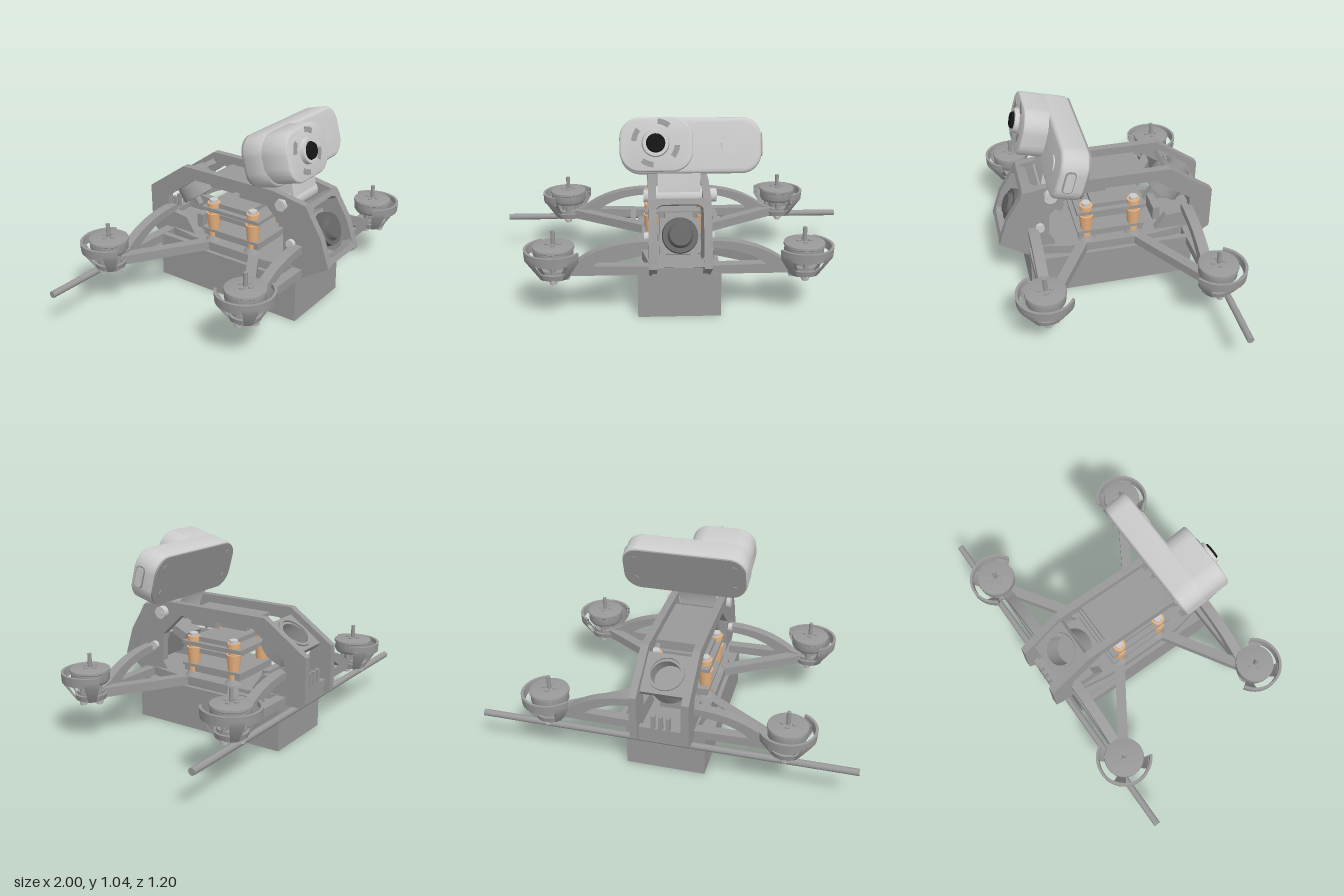
import * as THREE from 'three';
import { toCreasedNormals } from 'three/addons/utils/BufferGeometryUtils.js';

const material = (color) => new THREE.MeshStandardMaterial({ color });
const grey = material(0x999999);
const greyThin = new THREE.MeshStandardMaterial({ color: 0x999999, side: THREE.DoubleSide });
const dark = material(0x666666);
const light = material(0xd0d0d0);
const brass = material(0xe6b07e);
const black = material(0x151515);

function add(parent, name, geometry, mat = grey, x = 0, y = 0, z = 0) {
  const mesh = new THREE.Mesh(geometry, mat);
  mesh.name = name;
  mesh.position.set(x, y, z);
  parent.add(mesh);
  return mesh;
}
const group = (parent, name, x = 0, y = 0, z = 0) => {
  const g = new THREE.Group();
  g.name = name;
  g.position.set(x, y, z);
  parent.add(g);
  return g;
};
const box = (w, h, d) => new THREE.BoxGeometry(w, h, d);
const cyl = (r, h, n = 28, rTop = r) => new THREE.CylinderGeometry(rTop, r, h, n);
const cylX = (r, h, n = 24) => cyl(r, h, n).rotateZ(Math.PI / 2);
const cylZ = (r, h, n = 32, rFront = r) => cyl(r, h, n, rFront).rotateX(Math.PI / 2);
const polygon = (pts) => new THREE.Shape(pts.map((p) => new THREE.Vector2(...p)));
const lathe = (pts, start = 0, length = Math.PI * 2, n = 36) => toCreasedNormals(new THREE.LatheGeometry(
  pts.map((p) => new THREE.Vector2(...p)), n, start, length).toNonIndexed(), 0.6);

// Rounded rectangle centred on (cx, cy)
function roundRect(w, h, r, cx = 0, cy = 0) {
  const s = new THREE.Shape(), a = w / 2 - r, b = h / 2 - r, q = Math.PI / 2;
  s.absarc(cx + a, cy + b, r, 0, q).absarc(cx - a, cy + b, r, q, 2 * q);
  s.absarc(cx - a, cy - b, r, 2 * q, 3 * q).absarc(cx + a, cy - b, r, 3 * q, 4 * q);
  s.closePath();
  return s;
}
const extrude = (shape, depth, extra = {}) => toCreasedNormals(
  new THREE.ExtrudeGeometry(shape, { depth, bevelEnabled: false, curveSegments: 12, ...extra }), 0.6);
// Extrudes a (z, y) shape across x, centred on x = 0
const extrudeX = (shape, width) => extrude(shape, width).rotateY(-Math.PI / 2).translate(width / 2, 0, 0);
// Extrudes a (x, z) shape upwards from y = 0
const extrudeY = (shape, height) => extrude(shape, height).rotateX(Math.PI / 2).translate(0, height, 0);
// Soft-edged block with its back on z = 0
const softBlock = (w, h, r, depth, b, cx, cy) => extrude(
  roundRect(w - 2 * b, h - 2 * b, r - b, cx, cy), depth - 2 * b,
  { bevelEnabled: true, bevelSize: b, bevelThickness: b, bevelSegments: 4 }).translate(0, 0, b);

function buildFrame(model) {
  const frame = group(model, 'frame');
  const plate = polygon([[0.265, 0.675], [-0.33, 0.675], [-0.575, 0.505], [-0.575, 0.26], [-0.54, 0.235],
    [0.45, 0.235], [0.6, 0.33], [0.55, 0.485], [0.455, 0.64]]);
  plate.holes.push(polygon([[0.195, 0.61], [-0.255, 0.61], [-0.45, 0.47], [-0.45, 0.385], [-0.32, 0.37],
    [-0.26, 0.285], [0.3, 0.285], [0.33, 0.33], [0.325, 0.485]]));
  for (const s of [-1, 1]) {
    add(frame, 'sidePlate', extrudeX(plate, 0.04), grey, s * 0.135);
    add(frame, 'gussetBar', box(0.03, 0.04, 0.2), grey, s * 0.24, 0.26, -0.32);
    add(frame, 'cameraPivotScrew', cylX(0.024, 0.03), light, s * 0.162, 0.415, 0.38);
  }
  add(frame, 'bottomPlate', extrudeY(polygon([[-0.14, 0.48], [-0.19, 0.24], [-0.19, -0.24], [-0.14, -0.54],
    [0.14, -0.54], [0.19, -0.24], [0.19, 0.24], [0.14, 0.48]]), 0.05), grey, 0, 0.235);
  // Top deck and the modules hanging below it
  add(frame, 'topDeck', box(0.24, 0.02, 0.4), grey, 0, 0.62, 0);
  add(frame, 'hangingModule', box(0.2, 0.06, 0.16), grey, 0, 0.585, 0.09);
  add(frame, 'hangingModule', box(0.2, 0.045, 0.155), grey, 0, 0.592, -0.108);
  // Sloped nose ring
  const nose = roundRect(0.31, 0.335, 0.03);
  nose.holes.push(roundRect(0.25, 0.275, 0.05));
  add(frame, 'noseRing', extrude(nose, 0.06), grey, 0, 0.468, 0.474).rotation.x = -0.43;
  // Sloped tail plate with its tilted tube
  const tail = group(frame, 'tailAntennaMount', 0, 0.575, -0.435);
  tail.rotation.x = -0.62;
  const ringPlate = polygon([[-0.118, -0.1], [0.118, -0.1], [0.118, 0.12], [-0.118, 0.12]]);
  ringPlate.holes.push(new THREE.Path().absarc(0, 0, 0.08, 0, Math.PI * 2));
  add(tail, 'ringPlate', extrudeY(ringPlate, 0.03), grey, 0, -0.04);
  add(tail, 'tube', lathe([[0, -0.16], [0.108, -0.16], [0.108, -0.04], [0.095, -0.03], [0.095, 0], [0.08, 0],
    [0.08, -0.11], [0, -0.11]]), greyThin, 0, 0, 0.015);
  add(tail, 'tubeStub', cyl(0.02, 0.05), grey, 0, -0.18, -0.03);
  // Tail crossbar and connectors
  add(frame, 'tailCrossbar', box(0.24, 0.03, 0.03), grey, 0, 0.3, -0.53);
  for (const x of [-0.04, 0, 0.04]) add(frame, 'tailPin', box(0.02, 0.1, 0.025), grey, x, 0.34, -0.535);
  add(frame, 'connector', box(0.14, 0.08, 0.04), grey, 0, 0.325, -0.29);
  add(frame, 'crossRod', cylX(0.018, 2, 20), grey, 0, 0.212, -0.5);
}

function buildStack(model) {
  const stack = group(model, 'electronicsStack');
  // y, height, width and depth of each layer
  const layers = [[0.325, 0.03, 0.32, 0.36], [0.347, 0.015, 0.34, 0.375], [0.425, 0.025, 0.28, 0.25],
    [0.469, 0.02, 0.34, 0.375], [0.449, 0.018, 0.26, 0.3], [0.492, 0.026, 0.28, 0.2]];
  for (const [y, h, w, d] of layers) add(stack, 'board', box(w, h, d), grey, 0, y, -0.007);
  for (const x of [-0.138, 0.138]) for (const z of [0.125, -0.135]) {
    const post = group(stack, 'standoff', x, 0, z);
    add(post, 'foot', cyl(0.05, 0.025, 24, 0.03), grey, 0, 0.297);
    add(post, 'lowerSpacer', cyl(0.029, 0.035), brass, 0, 0.325);
    add(post, 'damper', cyl(0.03, 0.105, 24, 0.04), brass, 0, 0.393);
    add(post, 'collar', cyl(0.03, 0.04), brass, 0, 0.465);
    add(post, 'upperSpacer', cyl(0.035, 0.025), brass, 0, 0.494);
    add(post, 'screwHead', cyl(0.023, 0.018), light, 0, 0.515);
  }
}

function buildArm(model, sx, sz) {
  const cx = sx * 0.63, cz = sz > 0 ? 0.432 : -0.453;
  const arm = group(model, 'arm');
  // Flat diagonal strut
  const from = new THREE.Vector2(sx * 0.15, sz * 0.14), to = new THREE.Vector2(cx - sx * 0.05, cz - sz * 0.03);
  const mid = from.clone().add(to).multiplyScalar(0.5);
  const strut = add(arm, 'diagonalStrut', box(from.distanceTo(to), 0.05, 0.055), grey, mid.x, 0.26, mid.y);
  strut.rotation.y = -Math.atan2(to.y - from.y, to.x - from.x);
  // Straight strut with an arched brace above it
  const brace = new THREE.Shape().moveTo(0.13, 0.235).lineTo(0.58, 0.235).lineTo(0.58, 0.285);
  brace.lineTo(0.53, 0.3).quadraticCurveTo(0.37, 0.42, 0.13, 0.415);
  const gap = new THREE.Path().moveTo(0.15, 0.28).lineTo(0.44, 0.285).quadraticCurveTo(0.34, 0.37, 0.15, 0.375);
  brace.holes.push(gap);
  const arch = add(arm, 'archedStrut', extrude(brace, 0.055).translate(0, 0, -0.0275), grey, 0, 0, cz - sz * 0.015);
  arch.rotation.y = sx < 0 ? Math.PI : 0;

  // Motor cup: C-shaped guard on tapering ribs, open towards the body
  const mount = group(arm, 'motorMount', cx, 0, cz);
  const facing = Math.atan2(sx, sz);
  add(mount, 'pad', cyl(0.078, 0.03, 32, 0.085), grey, 0, 0.25);
  add(mount, 'guardRing', lathe([[0.13, 0.34], [0.147, 0.335], [0.15, 0.385], [0.136, 0.385], [0.13, 0.34]],
    facing - 1.85, 3.7, 40), greyThin);
  for (const a of [-1.6, 0, 1.6]) {
    add(mount, 'guardRib', lathe([[0.06, 0.235], [0.08, 0.235], [0.147, 0.335], [0.149, 0.36], [0.13, 0.36],
      [0.075, 0.265], [0.06, 0.235]], facing + a - 0.25, 0.5, 8), greyThin);
  }
  const motor = group(mount, 'motor');
  add(motor, 'base', cyl(0.07, 0.02), grey, 0, 0.27);
  add(motor, 'stator', cyl(0.045, 0.07), grey, 0, 0.305);
  add(motor, 'bell', lathe([[0, 0.325], [0.09, 0.325], [0.1, 0.34], [0.1, 0.382], [0.105, 0.386], [0.103, 0.397],
    [0.06, 0.404], [0, 0.404]]));
  add(motor, 'shaft', cyl(0.011, 0.08, 14), grey, 0, 0.437);
  for (let i = 0; i < 4; i++) {
    const c = Math.cos(i * Math.PI / 2), s = Math.sin(i * Math.PI / 2);
    add(motor, 'leg', cyl(0.014, 0.07, 12), grey, c * 0.06, 0.305, s * 0.06);
    add(motor, 'bellScrew', cyl(0.012, 0.008, 14), grey, c * 0.03, 0.406, s * 0.03);
    add(mount, 'mountScrew', cyl(0.017, 0.022, 16, 0.023), light, c * 0.058, 0.226, s * 0.058);
  }
}

function buildNoseCamera(model) {
  const cam = group(model, 'noseCamera', 0, 0.415, 0.38);
  cam.rotation.x = -0.42;
  add(cam, 'body', box(0.2, 0.18, 0.1), grey, 0, 0, 0.02);
  add(cam, 'rearConnector', box(0.14, 0.05, 0.11), grey, 0, 0.098, -0.057);
  add(cam, 'lensBarrel', cylZ(0.075, 0.07), grey, 0, 0, 0.1);
  add(cam, 'lensHood', cylZ(0.09, 0.045, 36, 0.086), dark, 0, 0, 0.132);
  add(cam, 'lensGlass', cylZ(0.066, 0.025, 32, 0.052), dark, 0, 0, 0.163);
}

function buildActionCamera(model) {
  // Hinge bracket and bolt
  const mount = group(model, 'actionCameraMount');
  add(mount, 'bracket', extrudeX(polygon([[0.36, 0.6], [0.355, 0.66], [0.33, 0.78], [0.2, 0.74], [0.25, 0.66],
    [0.27, 0.6]]), 0.214), light);
  add(mount, 'hingeBarrel', cylX(0.048, 0.23), light, 0, 0.615, 0.318);
  add(mount, 'boltHead', cylX(0.034, 0.035), light, 0.172, 0.615, 0.318);
  add(mount, 'boltSocket', cylX(0.02, 0.008, 6), light, 0.19, 0.615, 0.318);
  add(mount, 'nut', cylX(0.034, 0.03, 6), light, -0.162, 0.615, 0.318);

  const cam = group(model, 'actionCamera', 0, 0.837, 0.174);
  cam.rotation.x = -0.265;
  add(cam, 'wideBody', softBlock(0.705, 0.28, 0.1, 0.145, 0.022, 0.0625, -0.003), light);
  add(cam, 'backPanel', extrude(roundRect(0.69, 0.265, 0.092, 0.0625, -0.003), 0.014), grey, 0, 0, -0.004);
  add(cam, 'lensBlock', softBlock(0.355, 0.262, 0.1, 0.205, 0.012, -0.1125, 0.004), light, 0, 0, 0.067);
  // Lens with surrounding slots
  const lens = group(cam, 'lens', -0.116, 0.012, 0.272);
  add(lens, 'bezel', cylZ(0.068, 0.024, 36, 0.062), light, 0, 0, 0.01);
  add(lens, 'glass', cylZ(0.054, 0.03, 36, 0.04), black, 0, 0, 0.02);
  for (let i = 0; i < 4; i++) {
    const a = 0.4 + i * Math.PI / 2 + Math.PI / 4, slot = new THREE.Shape();
    slot.absarc(0, 0, 0.118, a - 0.28, a + 0.28, false).absarc(0, 0, 0.092, a + 0.28, a - 0.28, true);
    add(lens, 'slot', extrude(slot, 0.008), grey, 0, 0, -0.004);
  }
  // Front button, end port and back screws
  add(cam, 'button', cylZ(0.046, 0.014), light, 0.257, 0, 0.145);
  add(cam, 'portRim', extrudeX(roundRect(0.055, 0.12, 0.02), 0.016), grey, 0.412, 0, 0.09);
  add(cam, 'portCover', extrudeX(roundRect(0.043, 0.105, 0.015), 0.024), light, 0.412, 0, 0.09);
  for (const [x, y] of [[0.34, 0.07], [-0.22, 0.07], [-0.22, -0.07], [0.34, -0.07]]) {
    add(cam, 'backScrew', cylZ(0.018, 0.012, 18), grey, x, y, -0.002);
  }
}

export function createModel() {
  const model = new THREE.Group();
  model.name = 'quadcopter';
  add(model, 'battery', box(0.425, 0.235, 0.905), grey, 0, 0.1175, -0.007);
  buildFrame(model);
  buildStack(model);
  for (const sx of [-1, 1]) for (const sz of [-1, 1]) buildArm(model, sx, sz);
  buildNoseCamera(model);
  buildActionCamera(model);
  return model;
}
